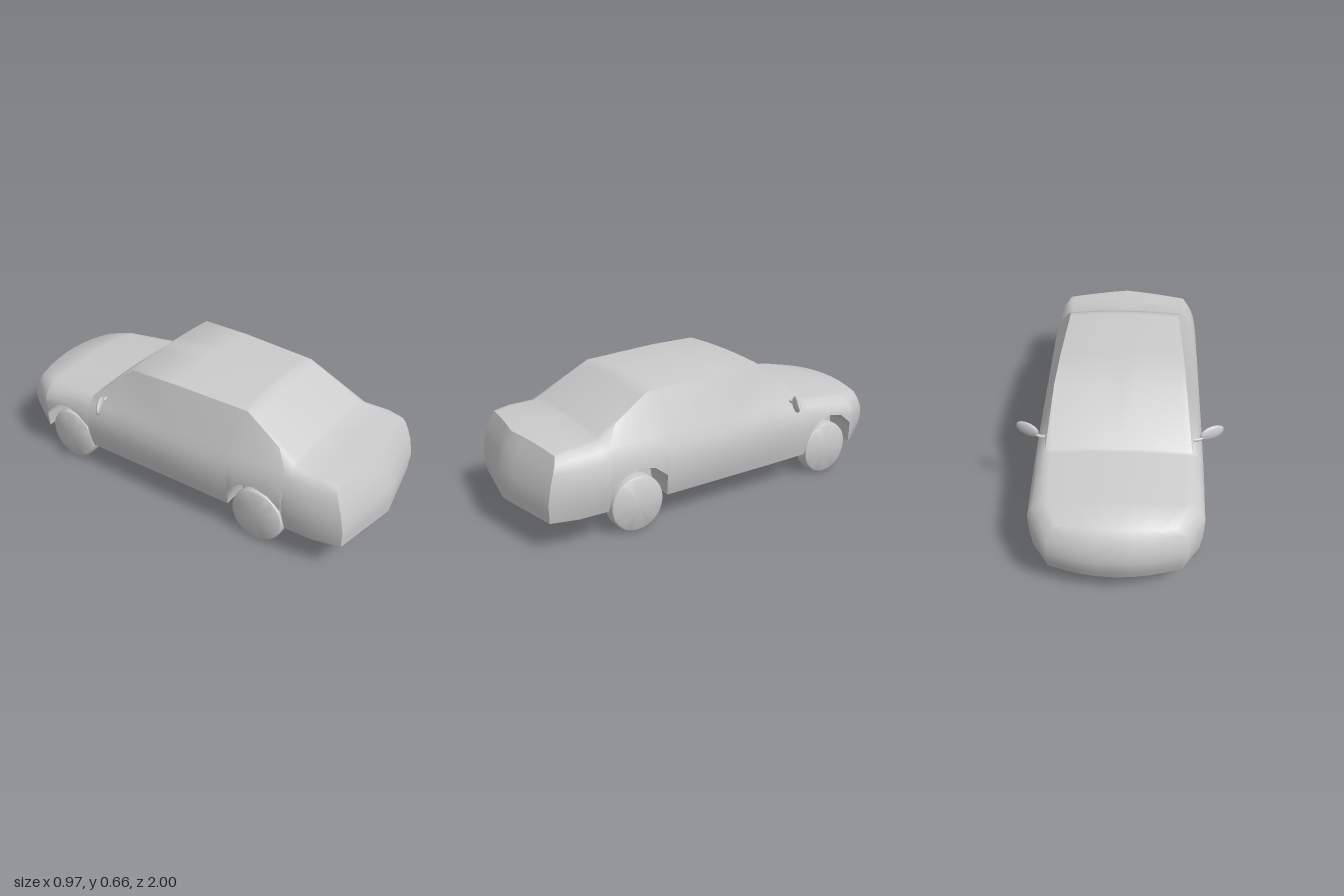
import * as THREE from 'three';
import { toCreasedNormals } from 'three/addons/utils/BufferGeometryUtils.js';

const grey = new THREE.MeshStandardMaterial({ color: 0xcccccc });
const AXLES = [-0.635, 0.5];
const WELL_X = 0.24;

// Body stations along z: roof/hood edge, centre height, belt, widest and sill points
const KEYS = [
  // z,    xe,    ye,    yt,    xb,    yb,   xm,    xo,    y0
  [-0.95, 0.275, 0.365, 0.385, 0.3, 0.335, 0.315, 0.295, 0.12],
  [-0.78, 0.32, 0.385, 0.405, 0.362, 0.355, 0.388, 0.372, 0.125],
  [-0.485, 0.335, 0.42, 0.437, 0.368, 0.395, 0.393, 0.37, 0.135],
  [-0.25, 0.305, 0.632, 0.645, 0.362, 0.43, 0.394, 0.367, 0.137],
  [0, 0.297, 0.638, 0.657, 0.36, 0.435, 0.394, 0.366, 0.139],
  [0.39, 0.28, 0.63, 0.645, 0.36, 0.44, 0.394, 0.366, 0.142],
  [0.675, 0.32, 0.468, 0.487, 0.358, 0.435, 0.394, 0.366, 0.146],
  [0.8, 0.33, 0.463, 0.48, 0.36, 0.43, 0.39, 0.366, 0.15],
  [0.93, 0.322, 0.452, 0.47, 0.34, 0.42, 0.352, 0.342, 0.157],
];
// Wheel arch outline, as offset from the axle and height
const ARCH = [[-0.155, 0.14], [-0.14, 0.255], [-0.075, 0.308], [0, 0.325], [0.075, 0.308], [0.14, 0.255], [0.155, 0.14]];
// Nose and tail profiles, as height and z on the centre line
const NOSE = [[0.12, -0.96], [0.19, -0.99], [0.25, -1], [0.32, -0.985], [0.365, -0.96], [0.385, -0.94]];
const TAIL = [[0.157, 0.993], [0.25, 1], [0.33, 0.985], [0.4, 0.962], [0.47, 0.93]];
const ACROSS = [0, 0.25, 0.5, 0.75, 0.92, 1];
const SIDE_ROWS = 6;

// Linear lookup in a table sorted by its first column
function look(table, v, col = 1) {
  if (v <= table[0][0]) return table[0][col];
  for (let i = 1; i < table.length; i++) {
    const a = table[i - 1], b = table[i];
    if (v <= b[0]) return a[col] + (b[col] - a[col]) * (v - a[0]) / (b[0] - a[0]);
  }
  return table[table.length - 1][col];
}

const endZ = (front, x, y) => front
  ? look(NOSE, y) + 0.07 * (x / 0.31) ** 2
  : look(TAIL, y) - 0.065 * Math.abs(x) / 0.35;

// Half section at z: top row, side rows, and the underside with its wheel well
function section(z) {
  const [xe, ye, yt, xb, yb, xm, xo, y0] = KEYS[0].slice(1).map((_, i) => look(KEYS, z, i + 1));
  let low = y0;
  for (const axle of AXLES) {
    if (Math.abs(z - axle) < 0.156) low = Math.max(low, look(ARCH, z - axle));
  }
  const sideX = y => y > 0.3
    ? xm - (xm - xb) * ((y - 0.3) / (yb - 0.3)) ** 2
    : xm - (xm - xo) * ((0.3 - y) / (0.3 - y0)) ** 2;
  const side = [[xe, ye]];
  for (let j = 0; j <= SIDE_ROWS; j++) {
    const y = yb + (low - yb) * j / SIDE_ROWS;
    side.push([sideX(y), y]);
  }
  const top = ACROSS.map(t => [t * xe, ye + (yt - ye) * (1 - t * t)]);
  const under = [[WELL_X, low], [WELL_X, y0], [WELL_X / 2, y0], [0, y0]];
  return { top, side, under, crown: yt - ye };
}

// Push a grid of points and its mirror image as triangles
function addGrid(out, grid, flip) {
  const tri = (a, b, c) => {
    out.push(...a, ...b, ...c);
    for (const p of [a, c, b]) out.push(-p[0], p[1], p[2]);
  };
  for (let i = 0; i + 1 < grid.length; i++) {
    for (let j = 0; j + 1 < grid[i].length; j++) {
      const a = grid[i][j], b = grid[i + 1][j], c = grid[i + 1][j + 1], d = grid[i][j + 1];
      if (flip) { tri(a, c, b); tri(a, d, c); } else { tri(a, b, c); tri(a, c, d); }
    }
  }
}

function bodyGeometry() {
  const stations = KEYS.map(k => k[0]);
  for (const axle of AXLES) for (const [dz] of ARCH) stations.push(axle + dz);
  stations.sort((a, b) => a - b);
  const first = stations[0], last = stations[stations.length - 1];
  const out = [];

  // Shell and floor
  const shell = stations.map(z => {
    const s = section(z);
    return [...s.top, ...s.side.slice(1), ...s.under].map(([x, y]) =>
      [x, y, z === first || z === last ? endZ(z === first, x, y) : z]);
  });
  addGrid(out, shell, false);

  // Nose and tail panels
  for (const z of [first, last]) {
    const s = section(z), n = s.side.length - 1;
    const panel = s.side.map(([sx, sy], j) => ACROSS.map(t => {
      const x = t * sx, y = sy + s.crown * (1 - t * t) * (1 - j / n);
      return [x, y, endZ(z === first, x, y)];
    }));
    addGrid(out, panel, z === first);
  }
  const geo = new THREE.BufferGeometry();
  geo.setAttribute('position', new THREE.Float32BufferAttribute(out, 3));
  return toCreasedNormals(geo, 0.9);
}

function part(name, geo) {
  const mesh = new THREE.Mesh(geo, grey);
  mesh.name = name;
  return mesh;
}

export function createModel() {
  const car = new THREE.Group();
  car.name = 'car';
  car.add(part('body', bodyGeometry()));

  // Wheels with slightly rounded shoulders
  const tyre = [[0, -0.04], [0.123, -0.04], [0.132, -0.034], [0.135, -0.022],
    [0.135, 0.022], [0.132, 0.034], [0.123, 0.04], [0, 0.04]].map(p => new THREE.Vector2(...p));
  const wheelGeo = toCreasedNormals(new THREE.LatheGeometry(tyre, 28).rotateZ(Math.PI / 2), 0.6);
  for (const z of AXLES) {
    for (const s of [1, -1]) {
      const wheel = part(`${z < 0 ? 'hoodEnd' : 'trunkEnd'}Wheel${s > 0 ? 'Left' : 'Right'}`, wheelGeo);
      wheel.position.set(s * 0.325, 0.137, z);
      car.add(wheel);
    }
  }

  // Side mirrors: thin curved housing on a short stem
  for (const s of [1, -1]) {
    const mirror = new THREE.Group();
    mirror.name = s > 0 ? 'mirrorLeft' : 'mirrorRight';
    const housing = part('mirrorHousing', new THREE.SphereGeometry(1, 20, 12));
    housing.scale.set(0.064, 0.036, 0.014);
    housing.position.set(s * 0.427, 0.453, -0.363);
    housing.rotation.y = -s * 0.5;
    const path = new THREE.CatmullRomCurve3([
      new THREE.Vector3(s * 0.34, 0.438, -0.4),
      new THREE.Vector3(s * 0.37, 0.438, -0.395),
      new THREE.Vector3(s * 0.405, 0.447, -0.375),
    ]);
    mirror.add(housing, part('mirrorStem', new THREE.TubeGeometry(path, 6, 0.008, 8)));
    car.add(mirror);
  }
  return car;
}
